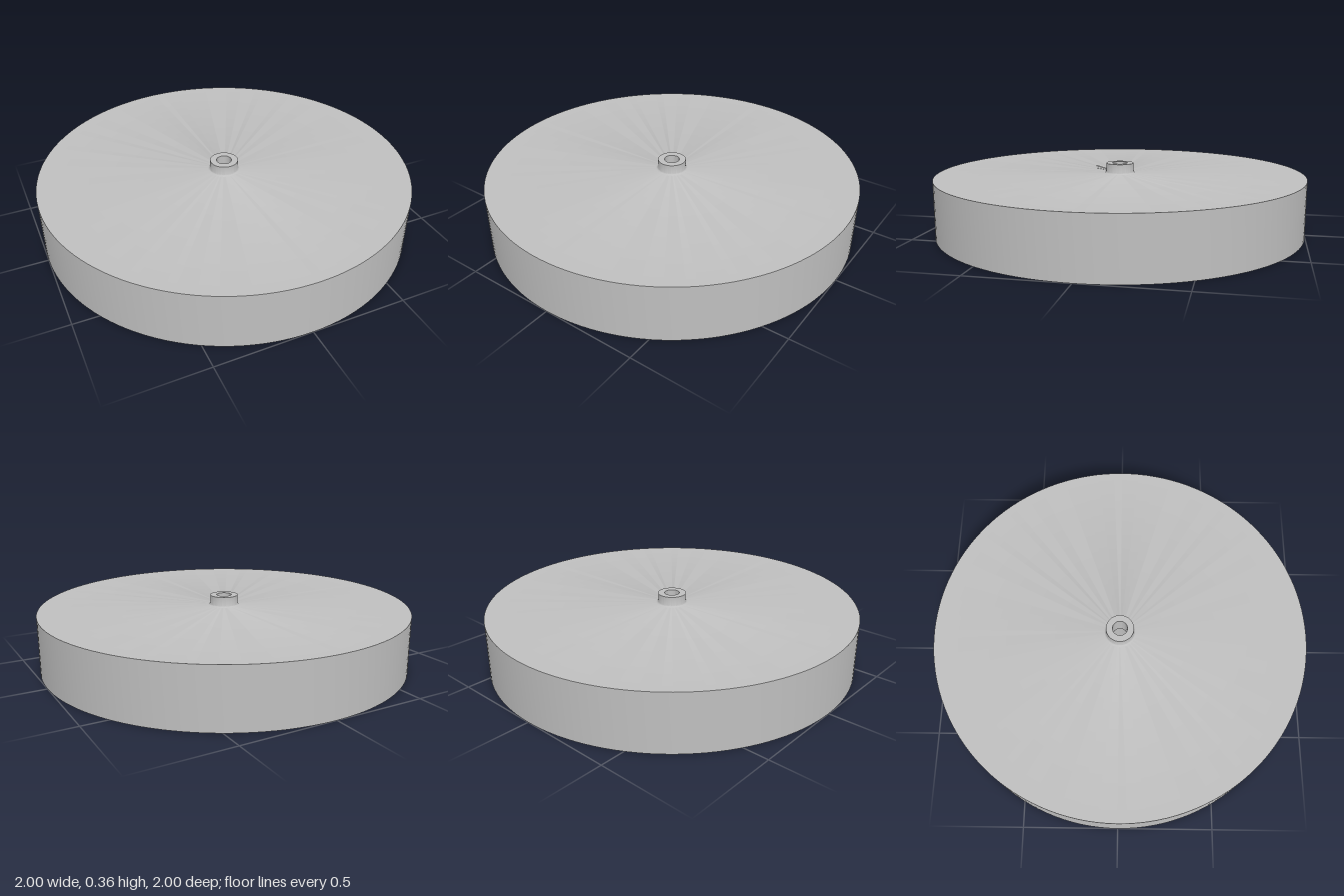
import * as THREE from 'three';
import { toCreasedNormals } from 'three/addons/utils/BufferGeometryUtils.js';

const SPOKES = 9;
const STEP = (Math.PI * 2) / SPOKES;
const HALF_SPOKE = 0.023;
const HUB_R = 0.16;
const RIM_R = 0.957;
const CORNER = 0.035;
const FLOOR_FILLET = 0.025;
const POCKET_DEPTH = 0.25;

// Outline of one pocket between two spokes, shrunk by `inset`; counter-clockwise.
function pocketOutline(inset) {
  const r = CORNER - inset;
  const v = HALF_SPOKE + CORNER;
  const pts = [];
  const corner = (dist, from, to) => {
    const u = Math.sqrt(dist * dist - v * v);
    const a = Math.atan2(v, u);
    for (let i = 0; i <= 6; i++) {
      const t = THREE.MathUtils.lerp(from(a), to(a), i / 6);
      pts.push(new THREE.Vector2(u + r * Math.cos(t), v + r * Math.sin(t)));
    }
    return a;
  };
  corner(HUB_R + CORNER, a => a + Math.PI, () => Math.PI * 1.5);
  const a = corner(RIM_R - CORNER, () => -Math.PI / 2, b => b);
  // Rim arc up to the pocket's middle
  for (let i = 1; i <= 6; i++) {
    const t = THREE.MathUtils.lerp(a, STEP / 2, i / 6);
    pts.push(new THREE.Vector2(Math.cos(t), Math.sin(t)).multiplyScalar(RIM_R - inset));
  }
  // Mirror the half outline across the middle line
  const c = Math.cos(STEP), s = Math.sin(STEP);
  const mirrored = pts.slice(0, -1).reverse()
    .map(p => new THREE.Vector2(c * p.x + s * p.y, s * p.x - c * p.y));
  const middle = new THREE.Vector2(Math.cos(STEP / 2), Math.sin(STEP / 2)).multiplyScalar(HUB_R + inset);
  return [...pts, ...mirrored, middle];
}

// Pocket walls: stacked outlines that round over into the pocket floor
function pocketWalls() {
  const sections = [[0, 0]];
  for (let i = 0; i <= 5; i++) {
    const t = (i / 5) * Math.PI / 2;
    sections.push([FLOOR_FILLET * (1 - Math.cos(t)),
      POCKET_DEPTH - FLOOR_FILLET * (1 - Math.sin(t))]);
  }
  const pos = [], index = [];
  let n = 0;
  sections.forEach(([inset, y], row) => {
    const outline = pocketOutline(inset);
    n = outline.length;
    outline.forEach(p => pos.push(p.x, y, p.y));
    if (row === 0) return;
    for (let i = 0; i < n; i++) {
      const j = (i + 1) % n, lo = (row - 1) * n, hi = row * n;
      index.push(lo + i, lo + j, hi + i, lo + j, hi + j, hi + i);
    }
  });
  const geo = new THREE.BufferGeometry();
  geo.setAttribute('position', new THREE.Float32BufferAttribute(pos, 3));
  geo.setIndex(index);
  geo.computeVertexNormals();
  return geo;
}

export function createModel() {
  const model = new THREE.Group();
  model.name = 'wheel';
  const grey = new THREE.MeshStandardMaterial({ color: 0xbfbfbf });
  grey.name = 'grey';
  const add = (name, geo, parent = model) => {
    const mesh = new THREE.Mesh(geo, grey);
    mesh.name = name;
    parent.add(mesh);
    return mesh;
  };

  // Rim, top disc, filleted boss and stepped bore in one turned profile
  const profile = [[1, 0], [1, 0.305]];
  for (let i = 0; i <= 5; i++) {
    const t = (i / 5) * Math.PI / 2;
    profile.push([0.09 - 0.015 * Math.sin(t), 0.32 - 0.015 * Math.cos(t)]);
  }
  profile.push([0.075, 0.36], [0.04, 0.36], [0.04, 0.25], [0.075, 0.25], [0.075, 0]);
  const turned = new THREE.LatheGeometry(profile.map(p => new THREE.Vector2(...p)), 128);
  add('rimDiscAndBoss', toCreasedNormals(turned, 0.6));

  // Underside face of rim, spokes and hub
  const face = new THREE.Shape().absarc(0, 0, 1, 0, Math.PI * 2);
  face.holes.push(new THREE.Path().absarc(0, 0, 0.075, 0, Math.PI * 2, true));
  const outline = pocketOutline(0);
  const origin = new THREE.Vector2();
  for (let i = 0; i < SPOKES; i++) {
    face.holes.push(new THREE.Path(outline.map(p => p.clone().rotateAround(origin, i * STEP))));
  }
  add('spokesUnderside', new THREE.ShapeGeometry(face, 64).rotateX(Math.PI / 2));

  // Pockets between the spokes
  const walls = pocketWalls();
  const floor = new THREE.ShapeGeometry(new THREE.Shape(pocketOutline(FLOOR_FILLET)))
    .rotateX(Math.PI / 2).translate(0, POCKET_DEPTH, 0);
  for (let i = 0; i < SPOKES; i++) {
    const pocket = new THREE.Group();
    pocket.name = `pocket${i + 1}`;
    pocket.rotation.y = -i * STEP;
    add('pocketWalls', walls, pocket);
    add('pocketFloor', floor, pocket);
    model.add(pocket);
  }
  return model;
}
